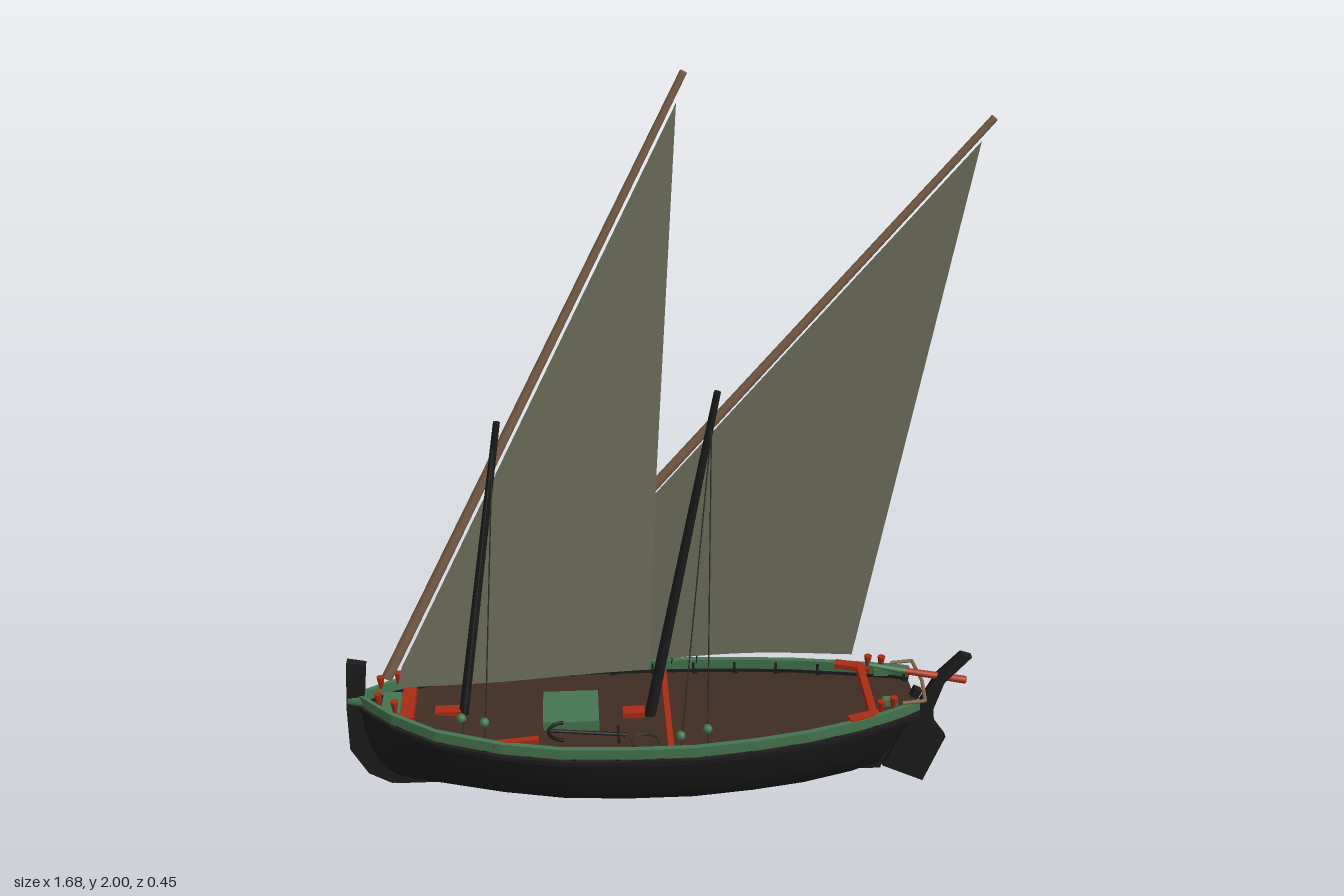
import * as THREE from 'three';

const mat = (name, color, double) => {
  const m = new THREE.MeshStandardMaterial({ color });
  m.name = name;
  if (double) m.side = THREE.DoubleSide;
  return m;
};

// hull stations: x, half width, keel height, rail height, fullness exponent
const STATIONS = [
  [-0.81, 0.008, 0.15, 0.342, 1], [-0.78, 0.035, 0.1, 0.337, 0.9], [-0.72, 0.085, 0.07, 0.329, 0.7],
  [-0.6, 0.15, 0.06, 0.314, 0.45], [-0.43, 0.195, 0.06, 0.3, 0.28], [-0.27, 0.215, 0.06, 0.29, 0.2],
  [-0.1, 0.219, 0.06, 0.286, 0.17], [0.08, 0.218, 0.06, 0.286, 0.17], [0.24, 0.203, 0.06, 0.291, 0.2],
  [0.38, 0.182, 0.06, 0.297, 0.25], [0.52, 0.148, 0.06, 0.305, 0.4], [0.6, 0.122, 0.07, 0.312, 0.6],
  [0.65, 0.105, 0.15, 0.318, 0.8], [0.69, 0.085, 0.24, 0.322, 1],
];
const DECK_DROP = 0.045;

// half width and rail height at any x
function hullAt(x) {
  let i = 0;
  while (i < STATIONS.length - 2 && STATIONS[i + 1][0] < x) i++;
  const a = STATIONS[i], b = STATIONS[i + 1];
  const t = THREE.MathUtils.clamp((x - a[0]) / (b[0] - a[0]), 0, 1);
  return { w: a[1] + (b[1] - a[1]) * t, y: a[3] + (b[3] - a[3]) * t };
}

// skin between equal-length rings of points
function loft(rings, flat) {
  const n = rings[0].length, index = [];
  for (let i = 0; i < rings.length - 1; i++) {
    for (let j = 0; j < n - 1; j++) {
      const a = i * n + j, b = a + n;
      index.push(a, b, a + 1, b, b + 1, a + 1);
    }
  }
  let g = new THREE.BufferGeometry();
  g.setAttribute('position', new THREE.Float32BufferAttribute(rings.flat(2), 3));
  g.setIndex(index);
  if (flat) g = g.toNonIndexed();
  g.computeVertexNormals();
  return g;
}

export function createModel() {
  const root = new THREE.Group();
  root.name = 'sailingBoat';
  const black = mat('tarBlack', 0x1c1c1d, true);
  const green = mat('railGreen', 0x44764f, true);
  const brown = mat('deckBrown', 0x402d23, true);
  const red = mat('fittingRed', 0xa82c14);
  const canvas = mat('sailCanvas', 0x72735f, true);
  const spar = mat('sparWood', 0x86684f);
  const rope = mat('ropeDark', 0x2e2e28);

  const add = (name, geo, material, x = 0, y = 0, z = 0) => {
    const m = new THREE.Mesh(geo, material);
    m.name = name;
    m.position.set(x, y, z);
    root.add(m);
    return m;
  };
  const box = (name, material, w, h, d, x, y, z) => add(name, new THREE.BoxGeometry(w, h, d), material, x, y, z);
  // tapered round bar from a to b
  const rod = (name, material, a, b, r0, r1 = r0, sides = 10) => {
    const p = new THREE.Vector3(...a), q = new THREE.Vector3(...b);
    const dir = q.clone().sub(p);
    const m = add(name, new THREE.CylinderGeometry(r1, r0, dir.length(), sides), material);
    m.position.copy(p).add(q).multiplyScalar(0.5);
    m.quaternion.setFromUnitVectors(new THREE.Vector3(0, 1, 0), dir.normalize());
    return m;
  };
  // flat board cut in the x-y plane
  const board = (name, material, pts, depth) => {
    const g = new THREE.ExtrudeGeometry(new THREE.Shape(pts.map(p => new THREE.Vector2(...p))),
      { depth, bevelEnabled: false });
    return add(name, g.translate(0, 0, -depth / 2), material);
  };

  // hull skin, from one sheer line round the keel to the other
  const levels = [1, 0.75, 0.5, 0.25, 0.12, 0.04, 0];
  const rings = STATIONS.map(([x, w, k, r, p]) => {
    const half = levels.map(u => [x, k + (r - DECK_DROP - k) * u, u ? w * Math.pow(u, p) : 0]);
    return [...half, ...half.slice(0, -1).reverse().map(([a, b, c]) => [a, b, -c])];
  });
  add('hull', loft(rings), black);
  const last = rings[rings.length - 1];
  add('transom', loft([last, last.map(([, y]) => [0.692, y, 0])], true), black);
  add('deck', loft(STATIONS.map(([x, w, , r]) => [-1, 0, 1].map(s =>
    [x, r - DECK_DROP + (s ? 0 : 0.006), s * w]))), brown);

  // keel, stem post and rudder
  box('keel', black, 1.34, 0.025, 0.022, -0.06, 0.066, 0);
  board('stemPost', black, [[-0.835, 0.445], [-0.845, 0.31], [-0.845, 0.17], [-0.8, 0.09], [-0.74, 0.056],
    [-0.68, 0.056], [-0.7, 0.09], [-0.76, 0.13], [-0.79, 0.19], [-0.8, 0.29], [-0.785, 0.435]], 0.024);
  board('sternPost', black, [[0.58, 0.055], [0.61, 0.06], [0.71, 0.3], [0.69, 0.31], [0.66, 0.22]], 0.022);
  board('rudder', black, [[0.81, 0.415], [0.75, 0.35], [0.715, 0.28], [0.615, 0.06], [0.73, 0.006], [0.785, 0.15],
    [0.75, 0.2], [0.745, 0.24], [0.77, 0.325], [0.84, 0.405]], 0.022);

  // rails, rubbing strakes and stanchions on each side
  const band = (side, top, h, inner, outer) => loft(STATIONS.map(([x, w, , r]) => {
    const y = r + top, a = Math.max(0.002, w + inner) * side, b = (w + outer) * side;
    return [[x, y, a], [x, y, b], [x, y - h, b], [x, y - h, a], [x, y, a]];
  }), true);
  for (const s of [1, -1]) {
    add('rail', band(s, 0, 0.029, -0.012, 0.003), green);
    add('rubbingStrake', band(s, -0.036, 0.012, -0.004, 0.008), black);
    for (let x = -0.7; x < 0.7; x += 0.115) {
      const { w, y } = hullAt(x);
      box('stanchion', black, 0.014, 0.04, 0.01, x, y - 0.028, s * (w - 0.007));
    }
    const { w, y } = hullAt(-0.39);
    box('pinRack', red, 0.12, 0.012, 0.018, -0.39, y - 0.004, s * (w - 0.022)).rotation.y = s * 0.13;
    box('sternLocker', red, 0.1, 0.014, 0.028, 0.54, 0.302, s * 0.125).rotation.y = -s * -0.3;
    // belaying pins
    for (const [px, inset] of [[-0.755, 0.015], [-0.71, 0.02], [0.58, 0.015], [0.615, 0.015]]) {
      const at = hullAt(px);
      add('belayingPin', new THREE.CylinderGeometry(0.011, 0.005, 0.035, 8), red,
        px, at.y + 0.014, s * (at.w - inset));
    }
    box('sternCleat', green, 0.04, 0.02, 0.02, 0.61, 0.315, s * 0.075);
    // thin stern frame bars
    rod('sternFrame', spar, [0.64, 0.325, s * 0.1], [0.7, 0.33, s * 0.1], 0.005);
    rod('sternFrame', spar, [0.7, 0.33, s * 0.1], [0.71, 0.33, 0], 0.005);
  }
  rod('bowCap', green, [-0.84, 0.325, 0], [-0.79, 0.322, 0], 0.017, 0.022, 6);

  // deck furniture
  box('hatch', green, 0.15, 0.03, 0.15, -0.245, 0.262, -0.005);
  box('thwart', red, 0.016, 0.018, 0.415, 0.015, 0.272, 0);
  box('sternBeam', red, 0.02, 0.026, 0.25, 0.56, 0.297, 0);
  box('bowBench', red, 0.035, 0.03, 0.17, -0.68, 0.3, 0);
  box('bowPlatform', green, 0.05, 0.014, 0.1, -0.725, 0.303, 0);
  box('foreMastStep', red, 0.07, 0.02, 0.035, -0.575, 0.274, 0);
  box('mainMastStep', red, 0.06, 0.02, 0.035, -0.075, 0.254, 0);
  rod('tiller', red, [0.83, 0.327, 0], [0.66, 0.362, 0], 0.011, 0.009, 8);
  rod('tillerGrip', green, [0.66, 0.362, 0], [0.56, 0.385, 0], 0.009, 0.006, 8);

  // anchor and coiled line
  rod('anchorShank', black, [-0.3, 0.285, 0.12], [-0.1, 0.262, 0.115], 0.005);
  const arms = add('anchorArms', new THREE.TorusGeometry(0.04, 0.005, 6, 12, Math.PI), black, -0.265, 0.282, 0.12);
  arms.rotation.set(Math.PI / 2, 0, Math.PI / 2);
  rod('anchorStock', black, [-0.12, 0.265, 0.08], [-0.12, 0.265, 0.155], 0.004);
  add('ropeCoil', new THREE.TorusGeometry(0.036, 0.003, 6, 20), rope, -0.05, 0.254, 0.14).rotation.x = Math.PI / 2;

  // masts and yards
  rod('foreMast', black, [-0.538, 0.24, 0], [-0.412, 1.13, 0], 0.014, 0.009);
  rod('mainMast', black, [-0.035, 0.22, 0], [0.14, 1.2, 0], 0.016, 0.009);
  rod('foreYard', spar, [-0.735, 0.37, -0.032], [0.052, 1.998, -0.022], 0.015, 0.009);
  rod('mainYard', spar, [-0.435, 0.4, -0.092], [0.77, 1.898, 0.047], 0.015, 0.009);

  // sails: flat outlines slanted to hang under their yards
  const sail = (name, start, foot, rest, zAt) => {
    const shape = new THREE.Shape().moveTo(...start);
    shape.splineThru(foot.map(p => new THREE.Vector2(...p)));
    rest.forEach(p => shape.lineTo(...p));
    const g = new THREE.ShapeGeometry(shape, 8), pos = g.attributes.position;
    for (let i = 0; i < pos.count; i++) pos.setZ(i, zAt(pos.getX(i)));
    g.computeVertexNormals();
    add(name, g, canvas);
  };
  sail('foreSail', [-0.71, 0.335], [[-0.45, 0.345], [-0.2, 0.365], [-0.03, 0.375]],
    [[-0.012, 0.95], [0.035, 1.925], [-0.695, 0.4]], x => -0.023 + 0.0127 * x);
  sail('mainSail', [-0.43, 0.31], [[-0.2, 0.355], [0, 0.395], [0.25, 0.425], [0.51, 0.43]],
    [[0.745, 1.842], [-0.43, 0.378]], x => -0.042 + 0.1154 * x);

  // shrouds, with blocks at their lower ends
  const rigging = [
    { top: [-0.425, 1.06], feet: [-0.53, -0.47], blocks: [0.045, 0.045] },
    { top: [0.125, 1.1], feet: [0.04, 0.11], blocks: [0.025, 0.04] },
  ];
  for (const { top, feet, blocks } of rigging) {
    for (const s of [1, -1]) {
      feet.forEach((fx, i) => {
        const { w, y } = hullAt(fx), z = s * (w - 0.012);
        rod('shroud', rope, [fx, y - 0.01, z], [top[0], top[1], s * 0.012], 0.0018, 0.0018, 5);
        add('block', new THREE.SphereGeometry(0.013, 10, 8), green, fx, y + blocks[i], z * 0.96);
      });
    }
  }
  return root;
}
